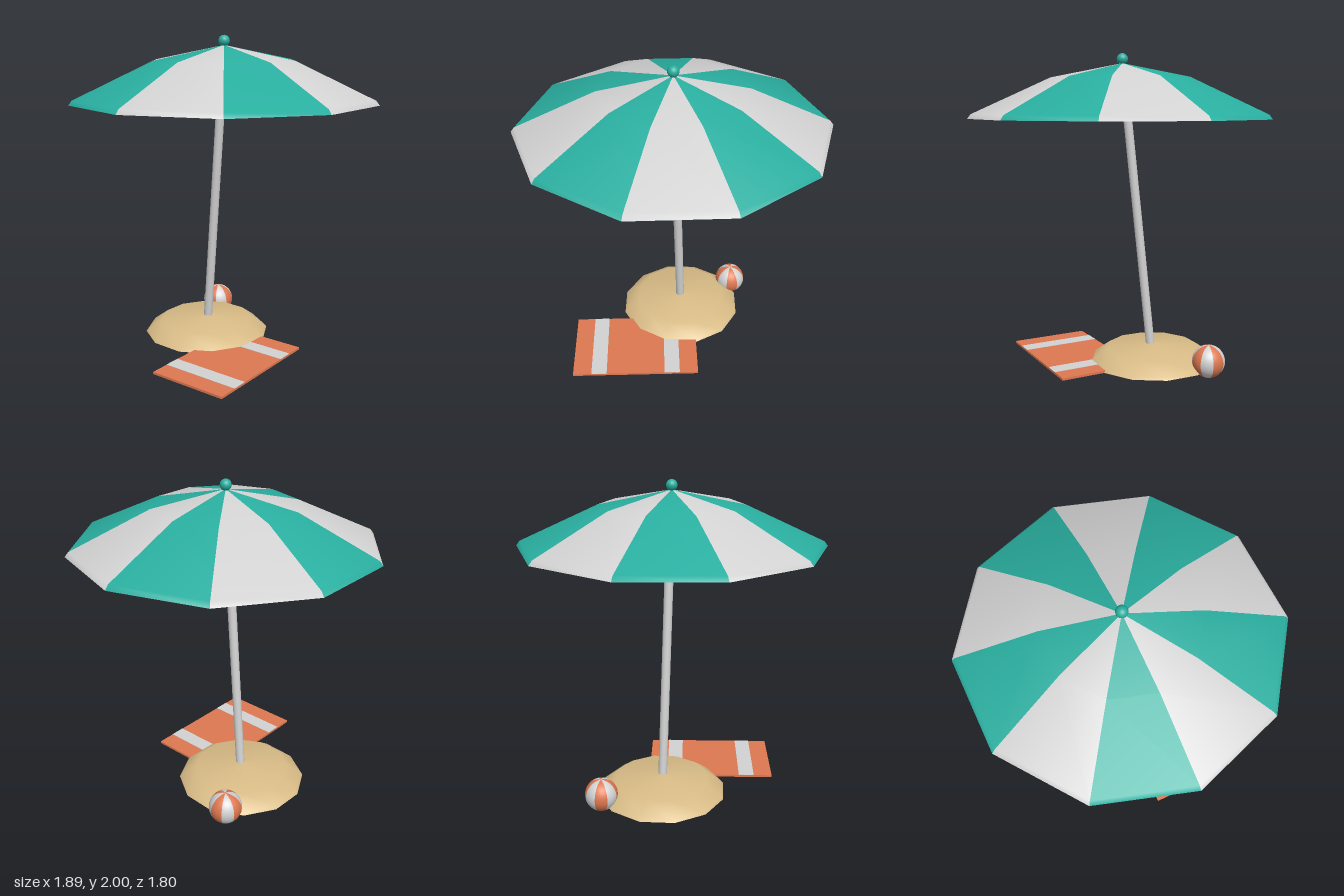
import * as THREE from 'three';

const paint = (name, color) => {
  const m = new THREE.MeshStandardMaterial({ color });
  m.name = name;
  return m;
};

export function createModel() {
  const model = new THREE.Group();
  model.name = 'beachUmbrellaSet';

  const teal = paint('teal', 0x29ae9f);
  const paleGrey = paint('paleGrey', 0xd2d2d2);
  const sand = paint('sand', 0xd8bb86);
  const orange = paint('orange', 0xdd7850);

  const add = (parent, name, geometry, material, x = 0, y = 0, z = 0) => {
    const mesh = new THREE.Mesh(geometry, material);
    mesh.name = name;
    mesh.position.set(x, y, z);
    parent.add(mesh);
    return mesh;
  };
  const group = (name, x = 0, y = 0, z = 0) => {
    const g = new THREE.Group();
    g.name = name;
    g.position.set(x, y, z);
    model.add(g);
    return g;
  };
  const profile = (pairs) => pairs.map(([r, y]) => new THREE.Vector2(r, y));

  // Canopy: ten alternating panels, the first centred on +z, each with a flat underside
  const canopy = group('canopy');
  const topProfile = profile([[0.947, 1.602], [0.925, 1.63], [0.445, 1.85], [0, 1.94]]);
  const undersideProfile = profile([[0, 1.602], [0.947, 1.602]]);
  const panelAngle = Math.PI / 5;
  for (let i = 0; i < 10; i++) {
    const color = i % 2 ? paleGrey : teal;
    const start = (i - 0.5) * panelAngle;
    add(canopy, 'canopyPanel', new THREE.LatheGeometry(topProfile, 1, start, panelAngle), color);
    add(canopy, 'canopyUnderside', new THREE.LatheGeometry(undersideProfile, 1, start, panelAngle), color);
  }
  add(model, 'finial', new THREE.SphereGeometry(0.035, 20, 14), teal, 0, 1.965, 0);

  // Leaning pole from inside the mound to the canopy peak
  const foot = new THREE.Vector3(-0.193, 0.07, 0);
  const head = new THREE.Vector3(0, 1.93, 0);
  const along = head.clone().sub(foot);
  const pole = add(model, 'pole', new THREE.CylinderGeometry(0.028, 0.028, along.length(), 16), paleGrey);
  pole.position.copy(foot).add(head).multiplyScalar(0.5);
  pole.quaternion.setFromUnitVectors(new THREE.Vector3(0, 1, 0), along.normalize());

  // Sand mound with a flat underside
  const moundProfile = profile([[0.41, 0.036], [0.397, 0.051], [0.3, 0.122], [0, 0.148]]);
  add(model, 'sandMound', new THREE.LatheGeometry(moundProfile, 12), sand, -0.2, 0, 0);
  const base = add(model, 'sandMoundBase', new THREE.CircleGeometry(0.41, 12), sand, -0.2, 0.036, 0);
  base.rotation.x = Math.PI / 2;

  // Towel with two thin stripes laid across it
  const towel = group('towel', 0.3, 0.042, 0.18);
  towel.rotation.y = 0.3;
  add(towel, 'towelCloth', new THREE.BoxGeometry(0.51, 0.014, 0.82), orange);
  for (const z of [-0.24, 0.24]) {
    add(towel, 'towelStripe', new THREE.BoxGeometry(0.51, 0.003, 0.1), paleGrey, 0, 0.0075, z);
  }

  // Ball: eight alternating gores, an orange one running from +z towards +x
  const ball = group('beachBall', -0.49, 0.103, -0.3);
  for (let i = 0; i < 8; i++) {
    const geometry = new THREE.SphereGeometry(0.103, 4, 18, (i * Math.PI) / 4, Math.PI / 4);
    add(ball, 'ballGore', geometry, i % 2 ? paleGrey : orange);
  }

  return model;
}
